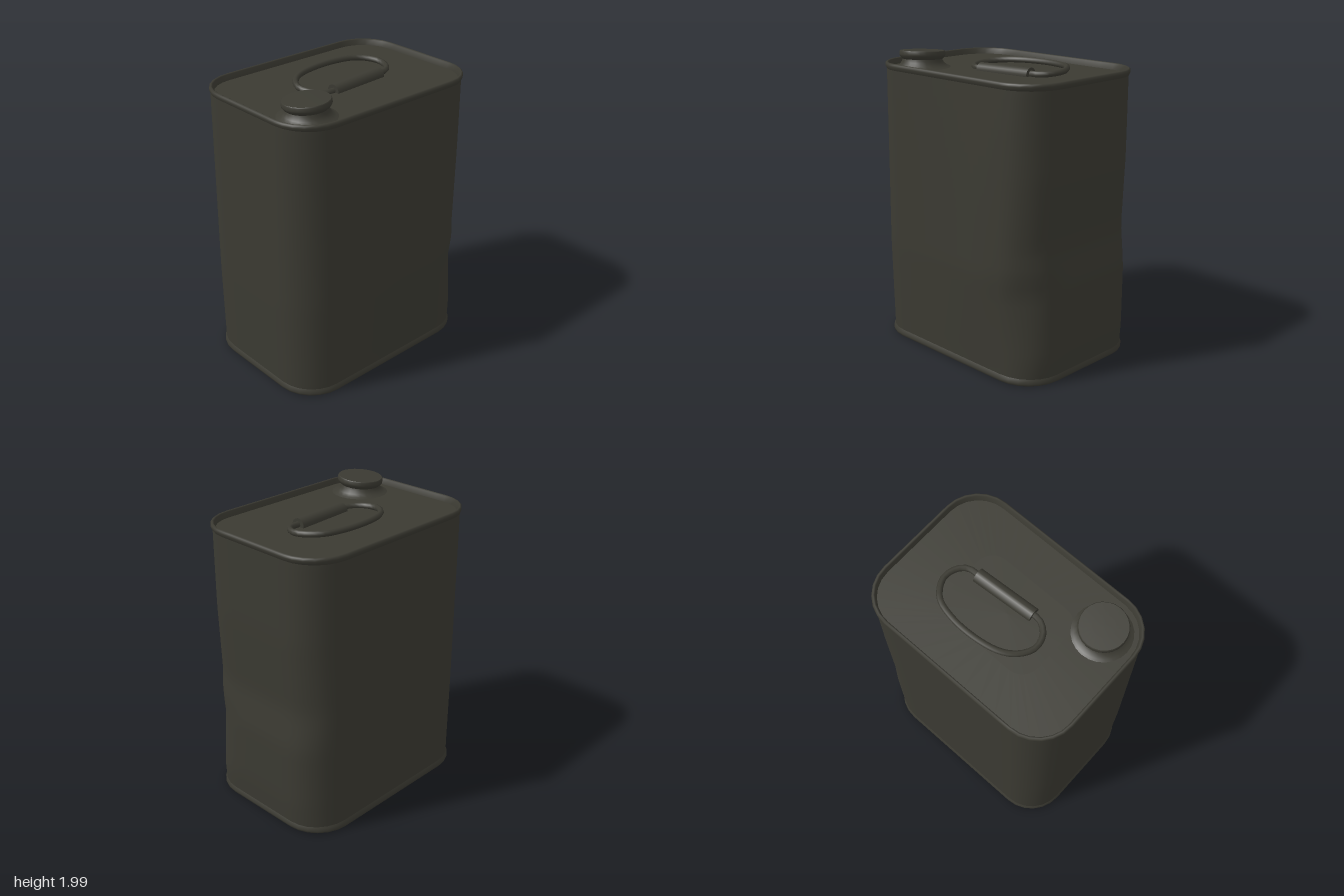
import * as THREE from 'three';

const CX = -0.015, CZ = 0.004, HW = 0.525, HD = 0.733, R = 0.25, LID = 1.882;
const tent = (v, lo, mid, hi) =>
  Math.max(0, v < mid ? (v - lo) / (mid - lo) : (hi - v) / (hi - mid));
const ramp = (v, lo, hi) => THREE.MathUtils.clamp((v - lo) / (hi - lo), 0, 1);

// Rounded rectangle in plan, grown by an offset, as [x, z] pairs
function outline(offset) {
  const pts = [], corner = 6, side = 8, r = R + offset;
  const a = HW - R, b = HD - R;
  const centres = [[a, b], [-a, b], [-a, -b], [a, -b]];
  centres.forEach(([cx, cz], q) => {
    for (let i = 0; i <= corner; i++) {
      const t = (q + i / corner) * Math.PI / 2;
      pts.push([cx + r * Math.cos(t), cz + r * Math.sin(t)]);
    }
    const [x0, z0] = pts[pts.length - 1];
    const [nx, nz] = centres[(q + 1) % 4];
    const t = (q + 1) * Math.PI / 2;
    const x1 = nx + r * Math.cos(t), z1 = nz + r * Math.sin(t);
    for (let i = 1; i < side; i++) {
      const k = i / side;
      pts.push([x0 + (x1 - x0) * k, z0 + (z1 - z0) * k]);
    }
  });
  return pts;
}

// Skin rings [offset, y, scale], listed from the underside round to the top
function loft(rings, deform) {
  const pos = [], index = [];
  let n = 0;
  rings.forEach(([offset, y, scale = 1]) => {
    const pts = outline(offset);
    n = pts.length;
    pts.forEach(([x, z]) => {
      const p = new THREE.Vector3(CX + x * scale, y, CZ + z * scale);
      if (deform) deform(p);
      pos.push(p.x, p.y, p.z);
    });
  });
  for (let j = 0; j < rings.length - 1; j++) {
    for (let i = 0; i < n; i++) {
      const a = j * n + i, b = j * n + (i + 1) % n;
      index.push(a, a + n, b, b, a + n, b + n);
    }
  }
  const g = new THREE.BufferGeometry();
  g.setAttribute('position', new THREE.Float32BufferAttribute(pos, 3));
  g.setIndex(index);
  g.computeVertexNormals();
  return g;
}

// Knocks in the sheet metal
function dent(p) {
  const { x, y, z } = p;
  // left wall bulges, front swells a little
  p.x += 0.046 * tent(y, 0.05, 0.7, 1.9) * tent(z, -0.66, -0.35, 0.9) * ramp(x, 0.3, 0.48);
  p.z += 0.009 * tent(y, 0.02, 0.65, 2.6) * ramp(z, 0.5, 0.7);
  // back is pushed in across the middle and swells below
  const back = ramp(-z, 0.5, 0.7);
  p.z += back * (0.022 * tent(y, 0.62, 0.88, 1.35) - 0.012 * ramp(y, 0.02, 0.2) * ramp(-y, -0.85, -0.62));
  // small crease on the back left corner
  const crease = 0.018 * tent(y, 0.15, 0.6, 0.76) * ramp(x, 0.15, 0.35) * ramp(-z, 0.45, 0.62);
  p.x -= crease;
  p.z += crease;
}

export function createModel() {
  const model = new THREE.Group();
  const paint = new THREE.MeshStandardMaterial({ color: 0x3b3a32 });
  paint.name = 'dark olive paint';
  const add = (name, geometry, parent = model) => {
    const mesh = new THREE.Mesh(geometry, paint);
    mesh.name = name;
    parent.add(mesh);
    return mesh;
  };

  // Walls
  const wall = [];
  for (let i = 0; i <= 30; i++) wall.push([0, 0.04 + i * 1.85 / 30]);
  add('wall', loft(wall, dent));

  // Rolled rims
  add('bottomRim', loft([
    [-0.022, 0.035], [-0.014, 0.015], [-0.002, 0.008], [0.008, 0.014],
    [0.011, 0.028], [0.006, 0.046], [-0.002, 0.062],
  ]));
  add('topRim', loft([
    [-0.002, 1.876], [0.005, 1.888], [0.011, 1.904], [0.008, 1.918],
    [-0.002, 1.924], [-0.012, 1.918], [-0.02, LID - 0.004],
  ]));

  // Recessed end panels
  add('bottomPanel', loft([[-0.015, 0.028, 0], [-0.015, 0.028, 0.5], [-0.015, 0.028, 1]]));
  add('lid', loft([[-0.015, LID, 1], [-0.015, LID, 0.5], [-0.015, LID, 0]]));

  // Filler neck, hollowed in towards a slightly tilted screw cap
  const lathe = pts => new THREE.LatheGeometry(pts.map(p => new THREE.Vector2(...p)), 24);
  const filler = new THREE.Group();
  filler.name = 'filler';
  filler.position.set(0.267, LID, 0.5);
  model.add(filler);
  add('neck', lathe([[0.198, -0.004], [0.172, 0.006], [0.15, 0.02], [0.136, 0.04], [0.13, 0.062]]), filler);
  const cap = new THREE.Group();
  cap.name = 'cap';
  cap.position.y = 0.05;
  cap.rotation.set(0.04, 0, 0.06);
  filler.add(cap);
  add('capSkirt', lathe([[0.128, 0], [0.14, 0.01], [0.151, 0.024], [0.153, 0.034], [0.152, 0.052], [0.147, 0.058]]), cap);
  add('capTop', lathe([[0.147, 0.058], [0.07, 0.059], [0, 0.059]]), cap);

  // Wire carrying handle, resting at a slant on the lid
  const path = [
    [0.08, 0.11], [0.078, 0.18], [0.025, 0.25], [-0.07, 0.276], [-0.16, 0.235], [-0.225, 0.15],
    [-0.262, 0], [-0.262, -0.2], [-0.215, -0.35], [-0.1, -0.425], [0, -0.405],
    [0.047, -0.35], [0.052, -0.26],
  ].map(([x, z]) => new THREE.Vector3(x, 1.907 - 0.08 * (x + 0.1) - 0.012 * z, z));
  const handle = new THREE.Group();
  handle.name = 'handle';
  model.add(handle);
  add('handleWire', new THREE.TubeGeometry(new THREE.CatmullRomCurve3(path), 36, 0.02, 7), handle);

  // Grip sleeve
  const from = new THREE.Vector3(0.052, 1.89, -0.29), to = new THREE.Vector3(0.08, 1.884, 0.13);
  const axis = to.clone().sub(from);
  const grip = add('handleGrip', new THREE.CylinderGeometry(0.047, 0.047, axis.length(), 14), handle);
  grip.position.copy(from).add(to).multiplyScalar(0.5);
  grip.quaternion.setFromUnitVectors(new THREE.Vector3(0, 1, 0), axis.normalize());

  return model;
}
